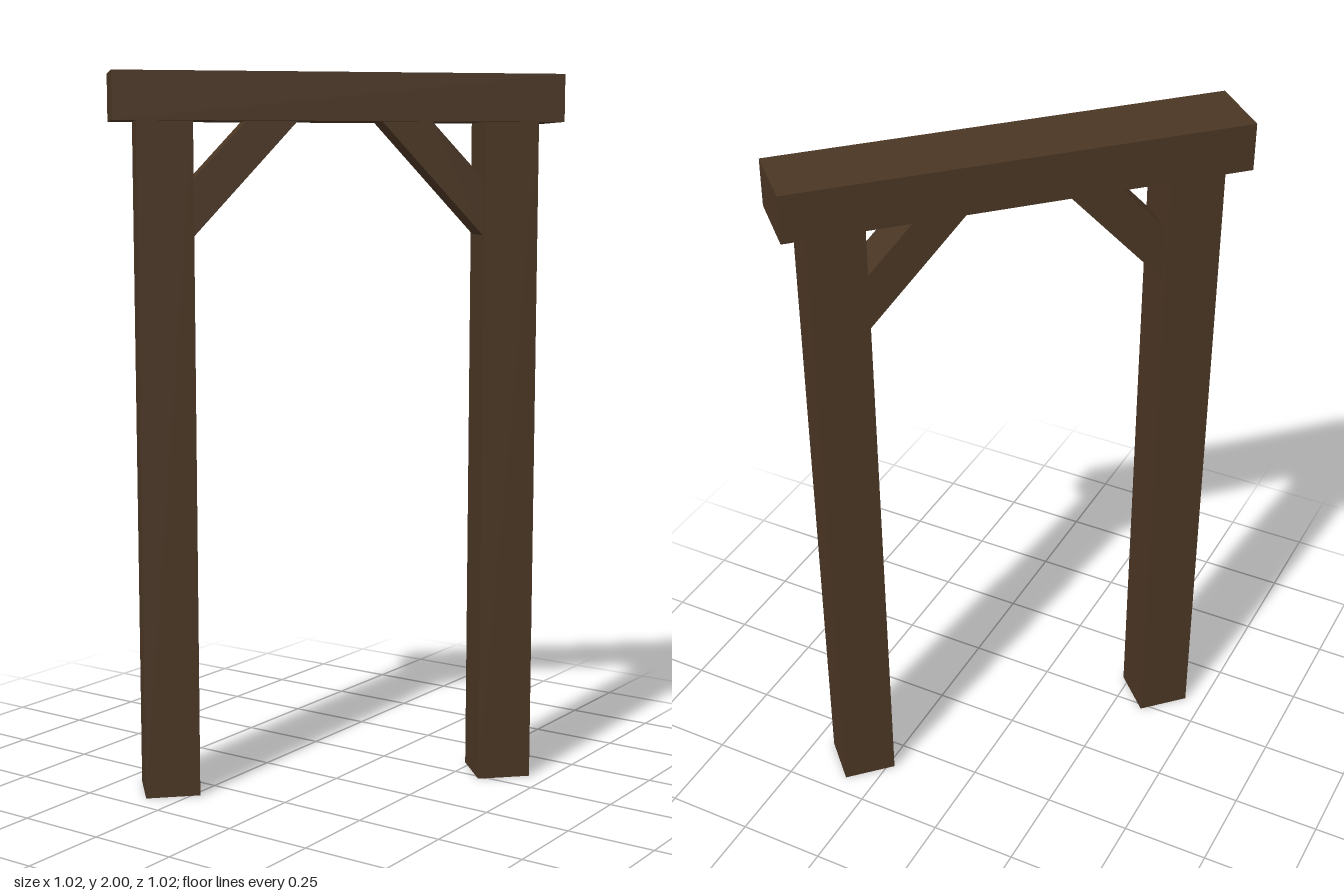
import * as THREE from 'three';

const wood = new THREE.MeshStandardMaterial({ color: 0x4a3624 });
wood.name = 'darkWood';

const BEAM_BOTTOM = 1.87;
const POST_X = 0.478;
const POST_SIZE = 0.152;

function addBox(parent, name, size, position) {
  const mesh = new THREE.Mesh(new THREE.BoxGeometry(...size), wood);
  mesh.name = name;
  mesh.position.set(...position);
  parent.add(mesh);
}

// Diagonal brace running from the post's inner face up to the beam
function addBrace(parent, name, side) {
  const face = POST_X - POST_SIZE / 2;
  const shape = new THREE.Shape([
    [face, 1.56], [face, 1.714], [face - 0.145, BEAM_BOTTOM], [face - 0.285, BEAM_BOTTOM],
  ].map(([x, y]) => new THREE.Vector2(side * x, y)));
  const depth = 0.12;
  const geometry = new THREE.ExtrudeGeometry(shape, { depth, bevelEnabled: false });
  geometry.translate(0, 0, -depth / 2);
  const mesh = new THREE.Mesh(geometry, wood);
  mesh.name = name;
  parent.add(mesh);
}

export function createModel() {
  const model = new THREE.Group();
  model.name = 'timberFrame';

  // The frame stands diagonally across the ground
  const frame = new THREE.Group();
  frame.name = 'frame';
  frame.rotation.y = Math.PI / 4;
  model.add(frame);

  addBox(frame, 'topBeam', [1.238, 2 - BEAM_BOTTOM, 0.205], [0, (2 + BEAM_BOTTOM) / 2, 0]);
  for (const [side, label] of [[1, 'left'], [-1, 'right']]) {
    addBox(frame, label + 'Post', [POST_SIZE, BEAM_BOTTOM, POST_SIZE], [side * POST_X, BEAM_BOTTOM / 2, 0]);
    addBrace(frame, label + 'Brace', side);
  }
  return model;
}
